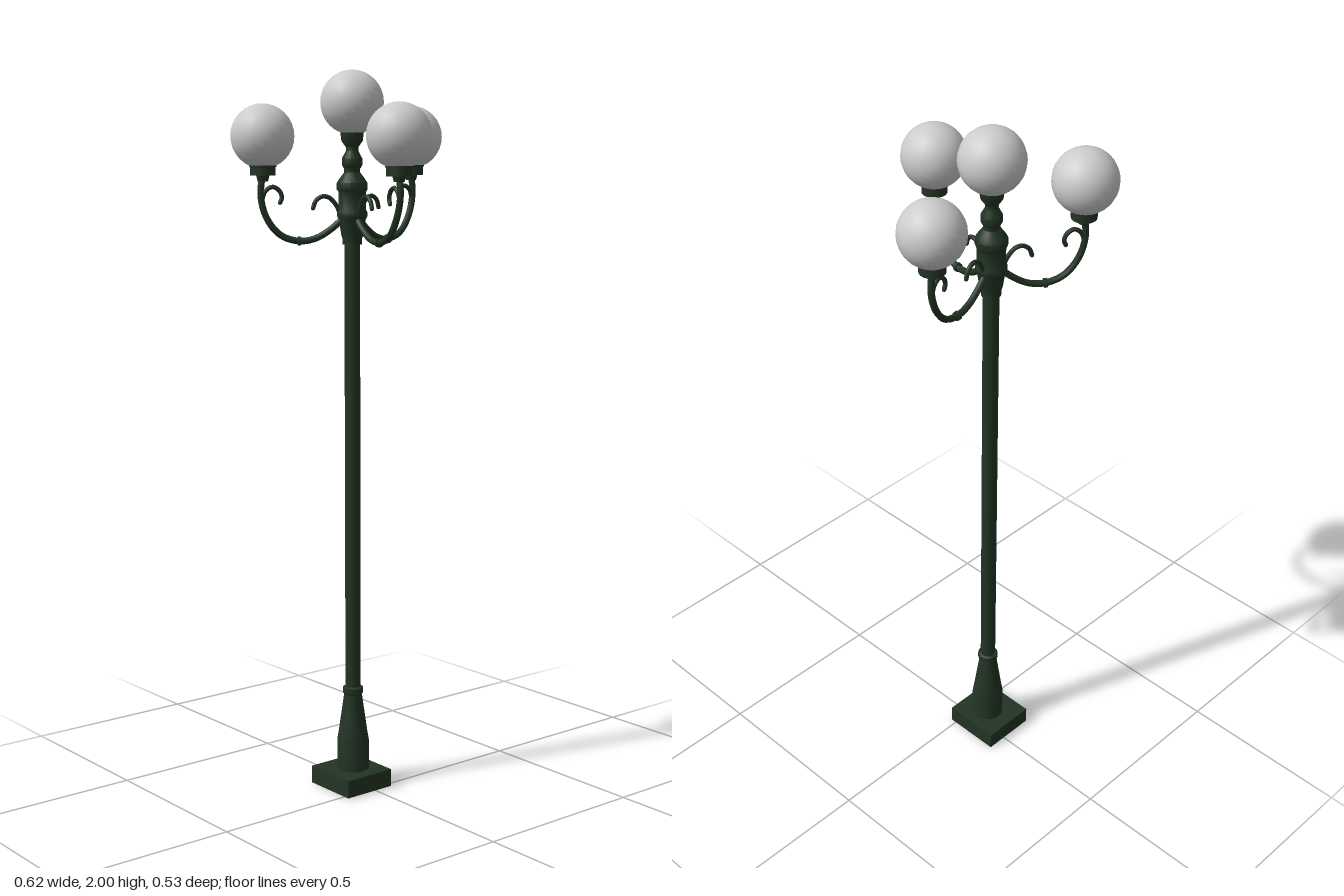
import * as THREE from 'three';
import { toCreasedNormals } from 'three/addons/utils/BufferGeometryUtils.js';

const green = new THREE.MeshStandardMaterial({ color: 0x223424 });
const grey = new THREE.MeshStandardMaterial({ color: 0xcccccc });

function add(parent, name, geometry, material = green) {
  const mesh = new THREE.Mesh(geometry, material);
  mesh.name = name;
  parent.add(mesh);
  return mesh;
}

// Turned part from [radius, height] pairs, with crisp profile edges
function turned(points, sides = 16) {
  const g = new THREE.LatheGeometry(points.map(([r, y]) => new THREE.Vector2(r, y)), sides);
  return toCreasedNormals(g, 0.6);
}

// Round bar along a curve through [distance, height] pairs, closed at both ends
function bar(parent, name, points, radius, segments) {
  const path = points.map(([x, y]) => new THREE.Vector3(x, y, 0));
  const curve = new THREE.CatmullRomCurve3(path, false, 'centripetal');
  add(parent, name, new THREE.TubeGeometry(curve, segments, radius, 8));
  for (const end of [path[0], path[path.length - 1]]) {
    add(parent, name + 'End', new THREE.SphereGeometry(radius, 8, 6)).position.copy(end);
  }
}

function globe(parent, x, y) {
  add(parent, 'globe', new THREE.SphereGeometry(0.086, 24, 16), grey).position.set(x, y, 0);
}

function createArm(angle, reach) {
  const arm = new THREE.Group();
  arm.name = 'lampArm';
  arm.rotation.y = angle;

  // Main sweep, from the post down and out up to the cup
  bar(arm, 'armSweep', [
    [0.03, 1.60], [0.06, 1.575], [0.10, 1.552], [0.145, 1.545], [0.195, 1.561],
    [0.232, 1.605], [reach + 0.006, 1.665], [reach, 1.73],
  ], 0.009, 40);
  // Scrolls beside the post and below the cup
  bar(arm, 'innerScroll', [
    [0.03, 1.61], [0.045, 1.642], [0.063, 1.661], [0.082, 1.664], [0.099, 1.653], [0.107, 1.633],
  ], 0.006, 20);
  bar(arm, 'outerScroll', [
    [reach + 0.004, 1.65], [reach - 0.006, 1.678], [reach - 0.025, 1.69],
    [reach - 0.043, 1.681], [reach - 0.051, 1.662], [reach - 0.046, 1.648],
  ], 0.006, 20);
  // Collar at the lowest point of the sweep
  const collar = add(arm, 'armCollar', new THREE.CylinderGeometry(0.0125, 0.0125, 0.008, 12));
  collar.position.set(0.145, 1.545, 0);
  collar.rotation.z = Math.PI / 2;

  // Cup and globe
  const cup = add(arm, 'lampCup', turned([
    [0, 1.705], [0.014, 1.705], [0.018, 1.72], [0.034, 1.72], [0.034, 1.742],
    [0.037, 1.743], [0.037, 1.754], [0, 1.754],
  ]));
  cup.position.x = reach;
  globe(arm, reach, 1.824);
  return arm;
}

export function createModel() {
  const model = new THREE.Group();
  model.name = 'streetLamp';
  const lamp = new THREE.Group();
  lamp.name = 'lampPost';
  lamp.position.set(-0.016, 0, -0.064);
  model.add(lamp);

  // Square foot
  add(lamp, 'foot', new THREE.BoxGeometry(0.156, 0.05, 0.166)).position.set(-0.005, 0.025, -0.002);

  // Tapered pedestal with a ring on top
  add(lamp, 'pedestal', turned([
    [0, 0.05], [0.045, 0.05], [0.045, 0.135], [0.04, 0.165], [0.025, 0.27],
    [0.029, 0.274], [0.029, 0.288], [0.022, 0.292], [0, 0.292],
  ]));

  // Long shaft
  add(lamp, 'shaft', new THREE.CylinderGeometry(0.0215, 0.0215, 1.28, 16, 1, true)).position.y = 0.92;

  // Turned head where the arms meet
  add(lamp, 'head', turned([
    [0, 1.535], [0.026, 1.535], [0.026, 1.548], [0.03, 1.56], [0.036, 1.60],
    [0.041, 1.61], [0.041, 1.622], [0.037, 1.63], [0.037, 1.675], [0.042, 1.683],
    [0.042, 1.70], [0.034, 1.712], [0.022, 1.728], [0.022, 1.738], [0.028, 1.748],
    [0.028, 1.765], [0.017, 1.785], [0.017, 1.795], [0.029, 1.812], [0.032, 1.835],
    [0.032, 1.845], [0, 1.845],
  ]));
  globe(lamp, 0, 1.914);

  // Three arms around the post: [x, z] of each globe from the post's axis
  for (const [x, z] of [[0.241, -0.036], [-0.211, -0.119], [-0.041, 0.244]]) {
    lamp.add(createArm(Math.atan2(-z, x), Math.hypot(x, z)));
  }
  return model;
}
